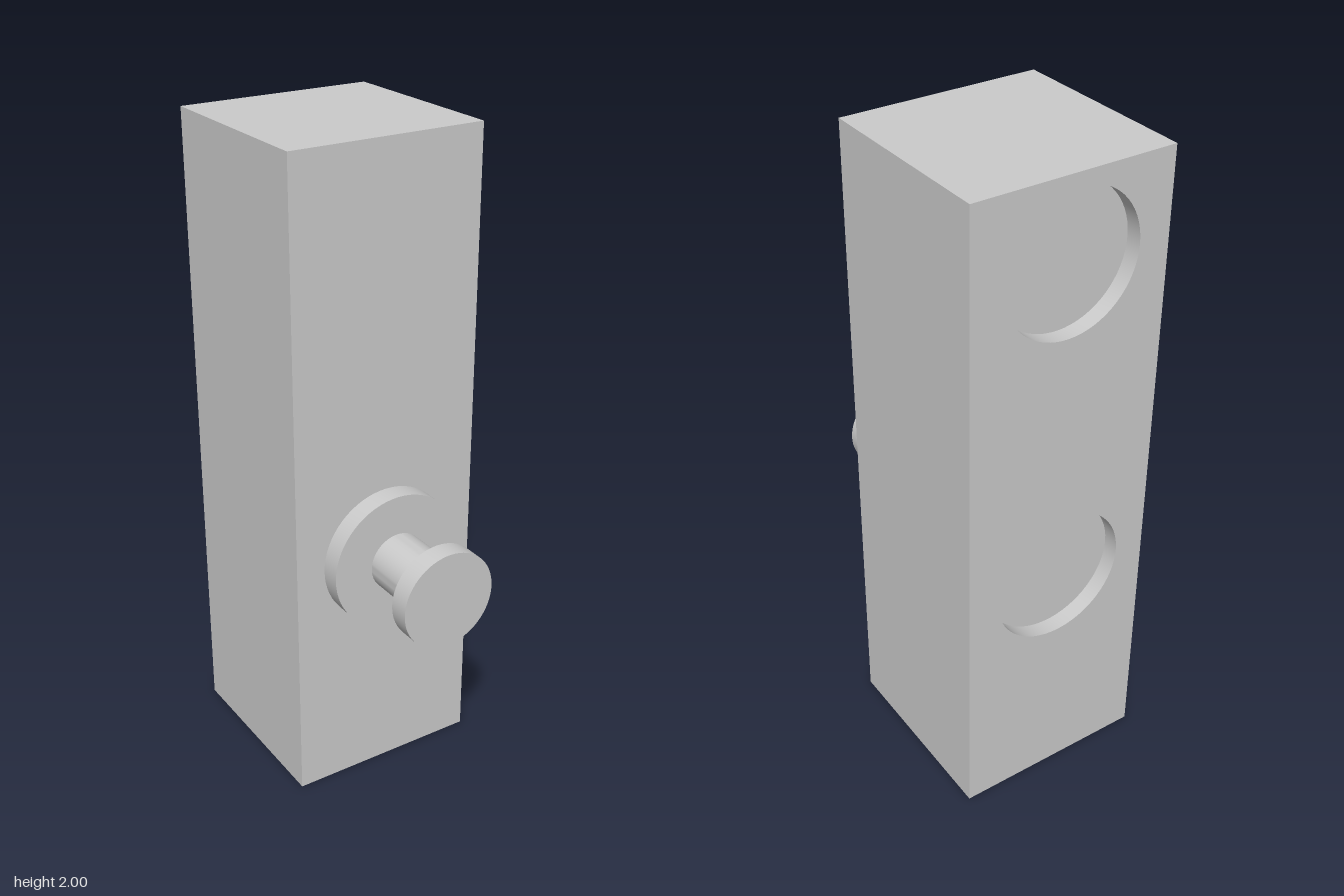
import * as THREE from 'three';
import { toCreasedNormals } from 'three/addons/utils/BufferGeometryUtils.js';

const W = 0.61, H = 2, BACK = -0.46, FRONT = 0.137;
const KNOB_Y = 0.755, POCKET_R = 0.21, POCKET_DEPTH = 0.05;
const SEGMENTS = 64;

export function createModel() {
  const group = new THREE.Group();
  const material = new THREE.MeshStandardMaterial({ color: 0xcccccc });

  const add = (name, geometry, x, y, z) => {
    const mesh = new THREE.Mesh(geometry, material);
    mesh.name = name;
    mesh.position.set(x, y, z);
    group.add(mesh);
  };

  // Turned part with crisp rims; profile is [radius, height along axis]
  const turned = (profile) => toCreasedNormals(
    new THREE.LatheGeometry(profile.map(([r, h]) => new THREE.Vector2(r, h)), SEGMENTS), 0.5);

  // Block: five sides of a box, its back (the last two triangles) left open
  const box = new THREE.BoxGeometry(W, H, FRONT - BACK);
  box.setIndex(Array.from(box.index.array).slice(0, 30));
  box.clearGroups();
  add('block', box, 0, H / 2, (FRONT + BACK) / 2);

  // Back panel pierced by two round pockets
  const panel = new THREE.Shape([
    new THREE.Vector2(-W / 2, 0), new THREE.Vector2(W / 2, 0),
    new THREE.Vector2(W / 2, H), new THREE.Vector2(-W / 2, H),
  ]);
  for (const [name, y] of [['lowerPocket', KNOB_Y], ['upperPocket', KNOB_Y + 1]]) {
    panel.holes.push(new THREE.Path().absarc(0, y, POCKET_R, 0, Math.PI * 2, true));
    // Recess wall and floor, facing outward through the back
    const pocket = turned([[POCKET_R, 0], [POCKET_R, -POCKET_DEPTH], [0, -POCKET_DEPTH]]);
    add(name, pocket.rotateX(-Math.PI / 2), 0, y, BACK);
  }
  add('backPanel', new THREE.ShapeGeometry(panel, SEGMENTS / 2).rotateY(Math.PI), 0, 0, BACK);

  // Knob: wide base plate, slim stem and round cap
  const knob = turned([
    [0.213, 0], [0.213, 0.063], [0.09, 0.063],
    [0.09, 0.26], [0.15, 0.26], [0.15, 0.323], [0, 0.323],
  ]);
  add('knob', knob.rotateX(Math.PI / 2), 0, KNOB_Y, FRONT);

  return group;
}
